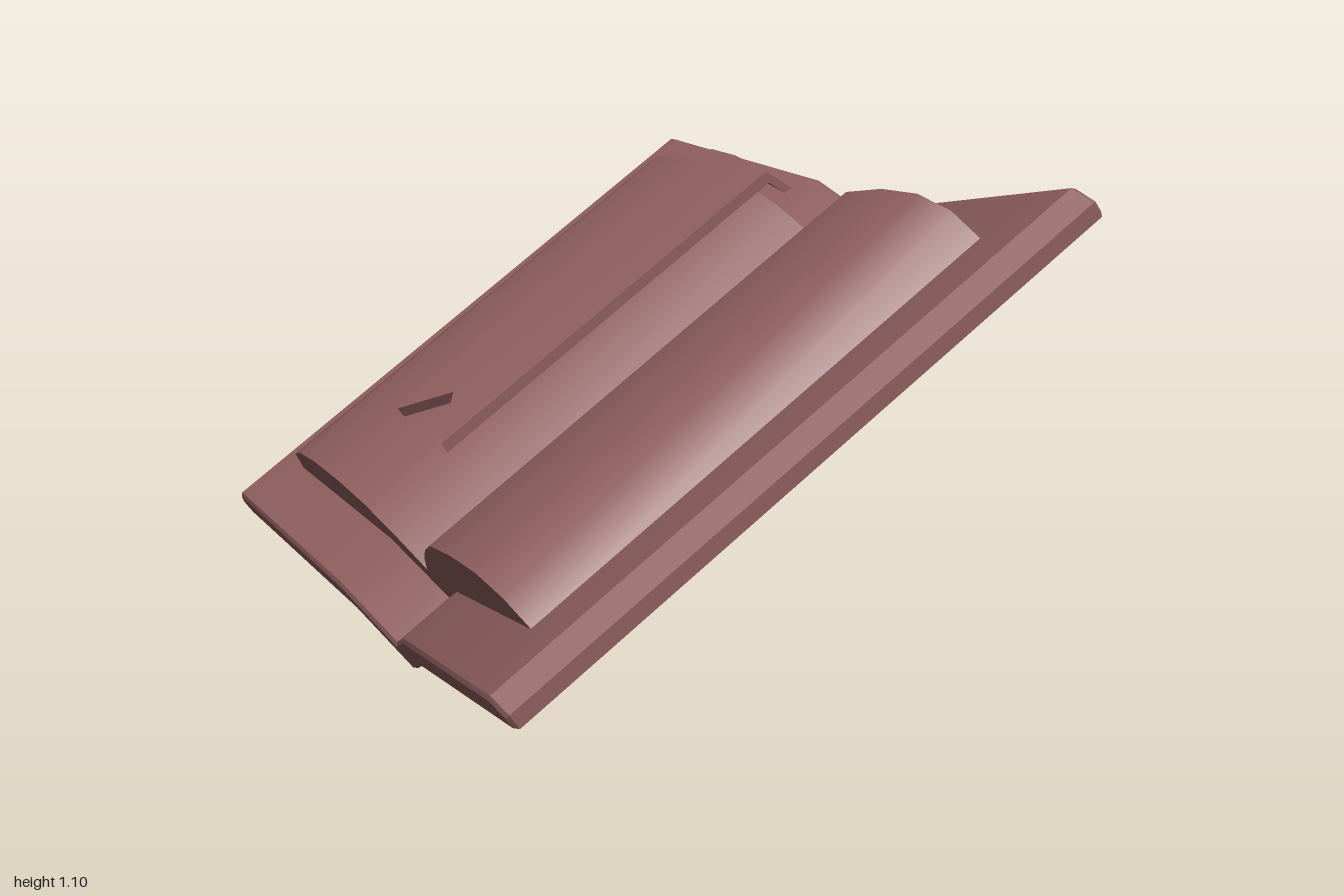
import * as THREE from 'three';
import { toCreasedNormals } from 'three/addons/utils/BufferGeometryUtils.js';

// Open book: x runs along the spine, y out of the pages, z across the spread.
const leather = new THREE.MeshStandardMaterial({ color: 0x8e5e5e });
leather.name = 'dusty red';

function addPart(parent, name, geometry, crease = 0.6) {
  const mesh = new THREE.Mesh(toCreasedNormals(geometry, crease), leather);
  mesh.name = name;
  parent.add(mesh);
}

// Sweep a [z, y] outline along the spine
function sweep(outline, length, bevel) {
  const shape = new THREE.Shape(outline.map(([z, y]) => new THREE.Vector2(-z, y)));
  const geo = new THREE.ExtrudeGeometry(shape, {
    depth: length - 2 * bevel, bevelEnabled: bevel > 0, bevelSegments: 1,
    bevelThickness: bevel, bevelSize: bevel, bevelOffset: -bevel,
  });
  geo.translate(0, 0, -(length - 2 * bevel) / 2);
  return geo.rotateY(Math.PI / 2);
}

// Ribbon height above the spine: rises away from the gutter
function ribbonHeight(z) {
  return z > -0.2
    ? THREE.MathUtils.mapLinear(z, -0.09, -0.2, 0.335, 0.372)
    : THREE.MathUtils.mapLinear(z, -0.2, -0.33, 0.372, 0.382);
}

function drape(geo) {
  const p = geo.attributes.position;
  for (let i = 0; i < p.count; i++) p.setY(i, p.getY(i) + ribbonHeight(p.getZ(i)));
  return geo;
}

export function createModel() {
  const model = new THREE.Group();
  model.name = 'openBook';
  const book = new THREE.Group();
  book.name = 'tiltedBook';
  book.rotation.z = THREE.MathUtils.degToRad(35.9);
  book.position.set(0.087, 0.437, 0);
  model.add(book);

  // Cover: two boards joined by a V-shaped spine
  addPart(book, 'cover', sweep([
    [1, 0.228], [0.2, 0.086], [0, 0], [-0.2, 0.117], [-0.97, 0.188], [-1, 0.2],
    [-1, 0.232], [-0.95, 0.264], [-0.2, 0.198], [0, 0.08], [0.2, 0.164],
    [0.95, 0.292], [1, 0.262],
  ], 1.484, 0.008));

  // Page block: two swelling halves meeting at the gutter
  addPart(book, 'pages', sweep([
    [0.8, 0.235], [0.2, 0.14], [0, 0.05], [-0.2, 0.17], [-0.82, 0.22],
    [-0.82, 0.255], [-0.76, 0.315], [-0.65, 0.346], [-0.5, 0.355], [-0.33, 0.34],
    [-0.2, 0.305], [-0.1, 0.25], [0, 0.165], [0.1, 0.23], [0.2, 0.283],
    [0.32, 0.333], [0.5, 0.36], [0.65, 0.363], [0.75, 0.33], [0.8, 0.268],
  ], 1.17, 0));

  // Bookmark ribbon with a swallowtail end, lying on one page
  const strip = new THREE.Shape([
    [-0.375, 0.33], [-0.27, 0.2], [-0.38, 0.09], [0.6, 0.09], [0.6, 0.2], [0.6, 0.33],
  ].map(([x, y]) => new THREE.Vector2(x, y)).reverse());
  const ribbon = new THREE.ExtrudeGeometry(strip, { depth: 0.025, bevelEnabled: false });
  ribbon.rotateX(-Math.PI / 2).translate(0, -0.025, 0);
  addPart(book, 'bookmarkRibbon', drape(ribbon));

  // Bookmark flap folded down past the page edge
  const flap = new THREE.BoxGeometry(0.02, 0.07, 0.24, 1, 1, 4);
  const p = flap.attributes.position;
  for (let i = 0; i < p.count; i++) {
    if (p.getY(i) < 0) p.setX(i, p.getX(i) + 0.03);
  }
  flap.translate(0.594, -0.036, -0.21);
  addPart(book, 'bookmarkFlap', drape(flap));

  return model;
}
